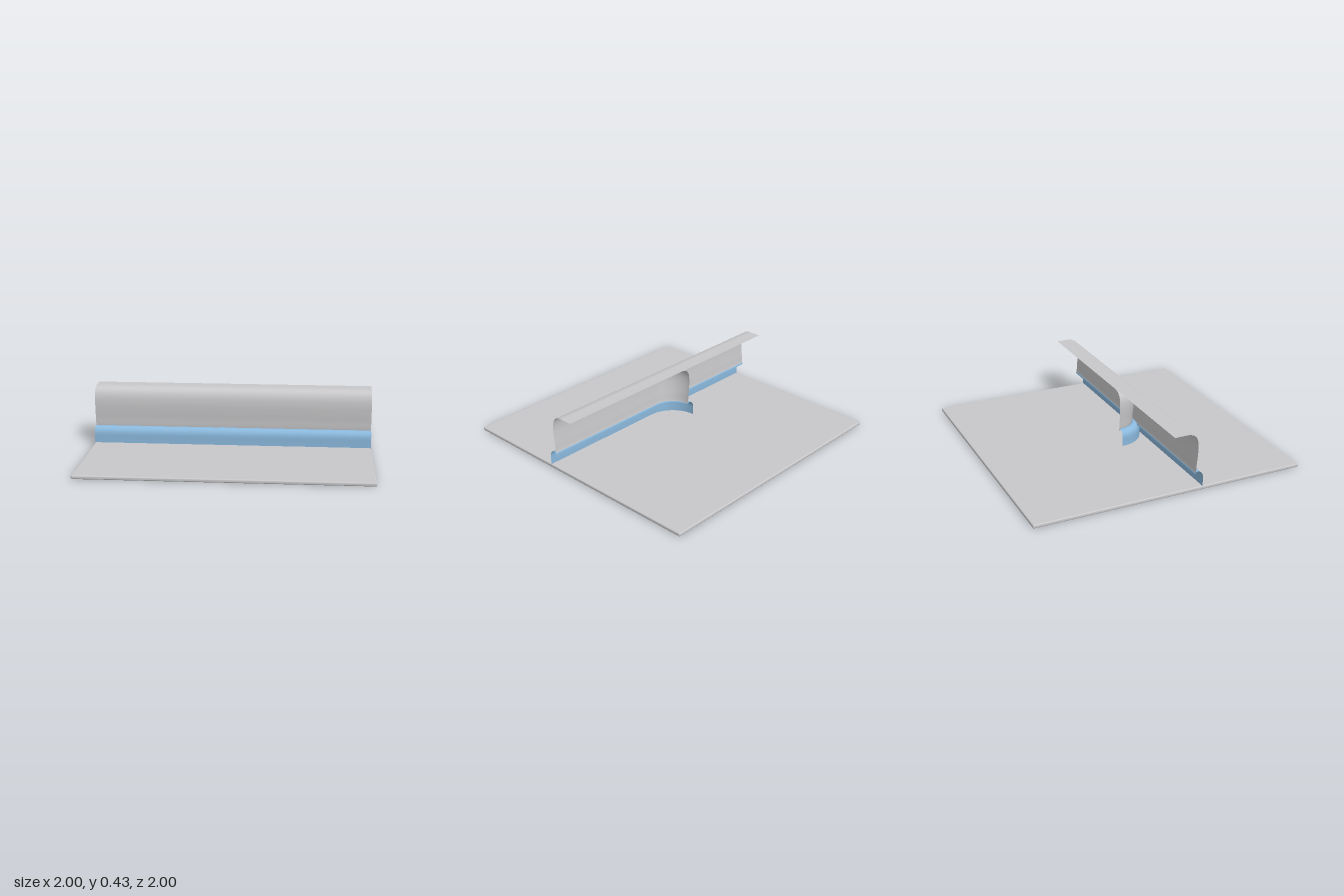
import * as THREE from 'three';
import { RoundedBoxGeometry } from 'three/addons/geometries/RoundedBoxGeometry.js';

const grey = new THREE.MeshStandardMaterial({ name: 'light grey', color: 0xc8c8ca, side: THREE.DoubleSide });
const blue = new THREE.MeshStandardMaterial({ name: 'soft blue', color: 0x8ab8dc, side: THREE.DoubleSide });

// Smooth cross-section through [distance from the middle, height] points, bottom to top
function profile(points, steps) {
  const curve = new THREE.CatmullRomCurve3(points.map(([r, y]) => new THREE.Vector3(r, y, 0)), false, 'centripetal');
  return curve.getPoints(steps).map(p => new THREE.Vector2(Math.max(p.x, 0), p.y));
}

// Straight sheet with the cross-section drawn out along x
function sheet(section) {
  const rows = section.length;
  const geo = new THREE.PlaneGeometry(2, 1, 1, rows - 1);
  const pos = geo.attributes.position;
  for (let i = 0; i < pos.count; i++) {
    const p = section[rows - 1 - Math.floor(i / 2)];
    pos.setY(i, p.y);
    pos.setZ(i, p.x);
  }
  geo.computeVertexNormals();
  return geo;
}

// Quarter turn of the cross-section, from the front round to -x
function quarterTurn(section) {
  return new THREE.LatheGeometry(section, 24, -Math.PI / 2, Math.PI / 2);
}

export function createModel() {
  const model = new THREE.Group();
  const add = (name, geo, material) => {
    const mesh = new THREE.Mesh(geo, material);
    mesh.name = name;
    model.add(mesh);
    return mesh;
  };

  // Thin ground slab with softened edges
  add('baseSlab', new RoundedBoxGeometry(2, 0.026, 2, 3, 0.009), grey).position.y = 0.013;

  // Blue foot that curls inward at its top
  const foot = profile([
    [0.222, 0], [0.222, 0.05], [0.222, 0.1], [0.215, 0.122], [0.2, 0.138],
    [0.182, 0.144], [0.168, 0.142], [0.162, 0.134], [0.16, 0.125],
  ], 40);

  // Grey upper wall, bulging slightly and rolling over to a flat top
  const wall = profile([
    [0.16, 0.125], [0.165, 0.142], [0.17, 0.2], [0.176, 0.26], [0.179, 0.32], [0.174, 0.37],
    [0.16, 0.402], [0.138, 0.42], [0.1, 0.43], [0.05, 0.43], [0, 0.43],
  ], 50);

  add('straightFoot', sheet(foot), blue);
  add('straightWall', sheet(wall), grey);
  add('cornerFoot', quarterTurn(foot), blue);
  add('cornerWall', quarterTurn(wall), grey);

  return model;
}
